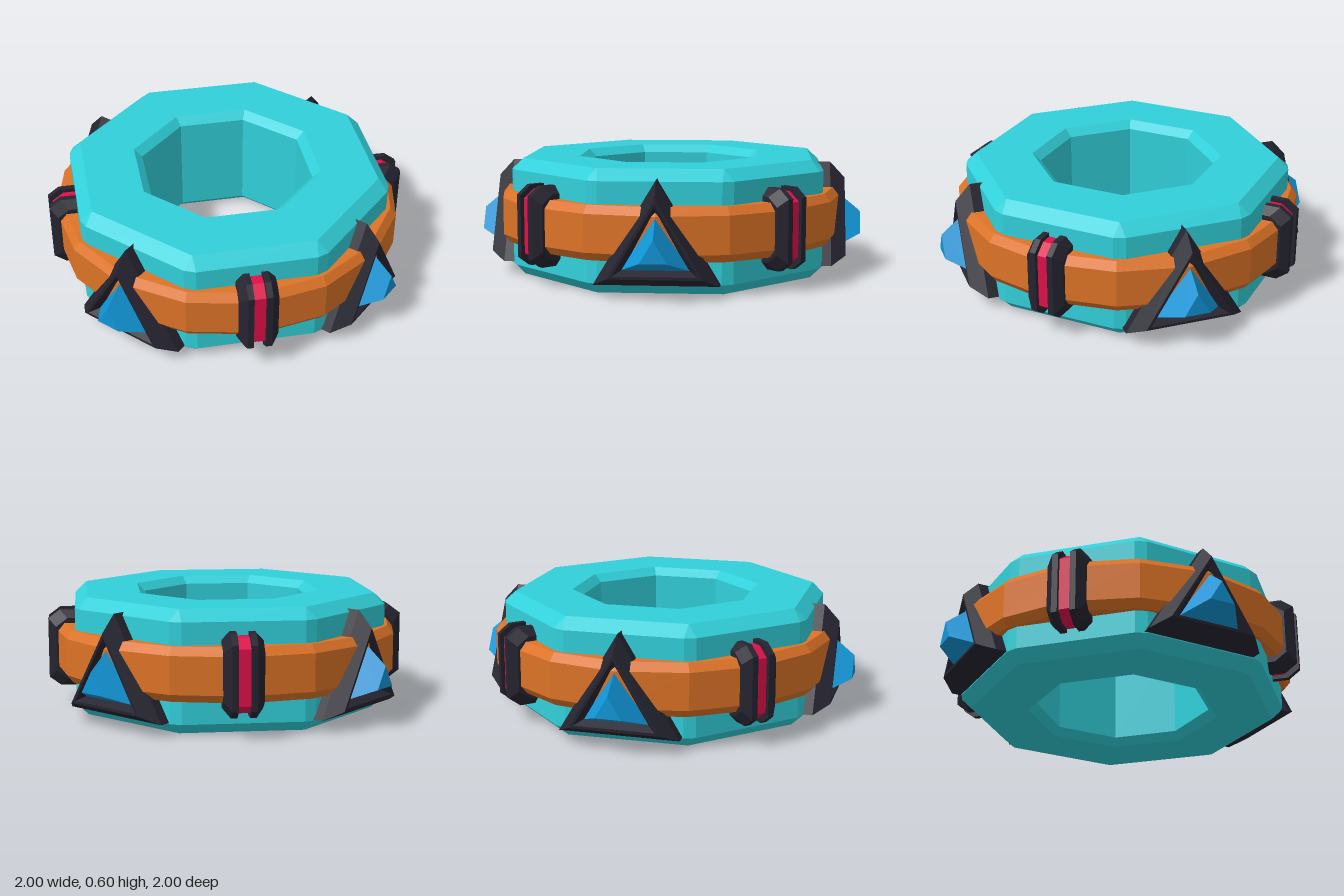
import * as THREE from 'three';

const mat = (name, color) => Object.assign(new THREE.MeshStandardMaterial({ color }), { name });

// Skin a run of matching cross-sections with flat faces; points run counter-clockwise seen from the far end
function loft(sections, capped = true) {
  const out = [];
  const tri = (...pts) => pts.forEach((p) => out.push(...p));
  const n = sections[0].length;
  for (let i = 0; i < sections.length - 1; i++) {
    for (let j = 0; j < n; j++) {
      const k = (j + 1) % n;
      const a = sections[i][j], b = sections[i][k], c = sections[i + 1][k], d = sections[i + 1][j];
      tri(a, b, c);
      tri(a, c, d);
    }
  }
  if (capped) {
    const first = sections[0], last = sections[sections.length - 1];
    for (let j = 1; j < n - 1; j++) {
      tri(first[0], first[j + 1], first[j]);
      tri(last[0], last[j], last[j + 1]);
    }
  }
  const geo = new THREE.BufferGeometry();
  geo.setAttribute('position', new THREE.Float32BufferAttribute(out, 3));
  geo.computeVertexNormals();
  return geo;
}

// Closed polygonal ring from a profile of [radius, y, corner cut angle]
function ring(profile, sides, start) {
  const loops = [...profile, profile[0]].map(([r, y, cut = 0]) => {
    const pts = [];
    for (let i = 0; i < sides; i++) {
      for (const s of [-1, 1]) {
        const a = start + (i * 2 * Math.PI) / sides + s * cut;
        pts.push([r * Math.cos(a), y, -r * Math.sin(a)]);
      }
    }
    return pts;
  });
  return loft(loops, false);
}

// Triangle scaled about its incentre, at depth z
const CENTRE_Y = 0.23;
const triangle = (s, z) =>
  [[-0.3, 0.06], [0.3, 0.06], [0, 0.56]].map(([x, y]) => [x * s, CENTRE_Y + (y - CENTRE_Y) * s, z]);

// Chamfered clamp outline at sideways position x, shrunk by inset
const clampOutline = (x, inset, front = 0.93) => {
  const lo = 0.1 + inset, hi = 0.5 - inset, z = front - inset;
  return [[lo, 0.74], [hi, 0.74], [hi, z - 0.06], [hi - 0.045, z], [lo + 0.045, z], [lo, z - 0.06]]
    .map(([y, r]) => [x, y, r]);
};

export function createModel() {
  const model = new THREE.Group();
  const teal = mat('teal', 0x31d0da);
  const orange = mat('orange', 0xdd7327);
  const dark = mat('charcoal', 0x252430);
  const crimson = mat('crimson', 0xde104a);
  const blue = mat('blue', 0x1096d8);

  const add = (parent, name, geo, material) => {
    const mesh = new THREE.Mesh(geo, material);
    mesh.name = name;
    parent.add(mesh);
  };

  // Octagonal body with bevelled rims and cut corners
  const cut = 0.0355;
  add(model, 'body', ring([
    [0.79, 0], [0.843, 0.055, cut], [0.843, 0.545, cut], [0.79, 0.6],
    [0.495, 0.6], [0.452, 0.56], [0.452, 0.04], [0.495, 0],
  ], 8, Math.PI / 8 + 0.013), teal);

  // Sixteen-sided band around the body
  add(model, 'band', ring([
    [0.8, 0.17], [0.865, 0.17], [0.897, 0.21], [0.897, 0.395], [0.865, 0.435], [0.8, 0.435],
  ], 16, 0), orange);

  // Shared geometry for the four badges and four clamps
  const frameGeo = loft([
    triangle(1, 0.77), triangle(1, 0.84), triangle(0.75, 0.917),
    triangle(0.67, 0.917), triangle(0.53, 0.875),
  ]);
  const gemGeo = loft([triangle(0.53, 0.875), triangle(0.217, 1)]);
  const flangeL = loft([clampOutline(0.03, 0), clampOutline(0.06, 0), clampOutline(0.097, 0.04)]);
  const flangeR = loft([clampOutline(-0.097, 0.04), clampOutline(-0.06, 0), clampOutline(-0.03, 0)]);
  const coreGeo = loft([clampOutline(-0.036, 0.02), clampOutline(0.036, 0.02)]);

  for (let i = 0; i < 4; i++) {
    const badge = new THREE.Group();
    badge.name = 'triangleBadge';
    badge.rotation.y = (i * Math.PI) / 2;
    add(badge, 'badgeFrame', frameGeo, dark);
    add(badge, 'gem', gemGeo, blue);

    const clamp = new THREE.Group();
    clamp.name = 'clamp';
    clamp.rotation.y = (i * Math.PI) / 2 + Math.PI / 4;
    add(clamp, 'leftFlange', flangeL, dark);
    add(clamp, 'rightFlange', flangeR, dark);
    add(clamp, 'clampCore', coreGeo, crimson);
    model.add(badge, clamp);
  }
  return model;
}
